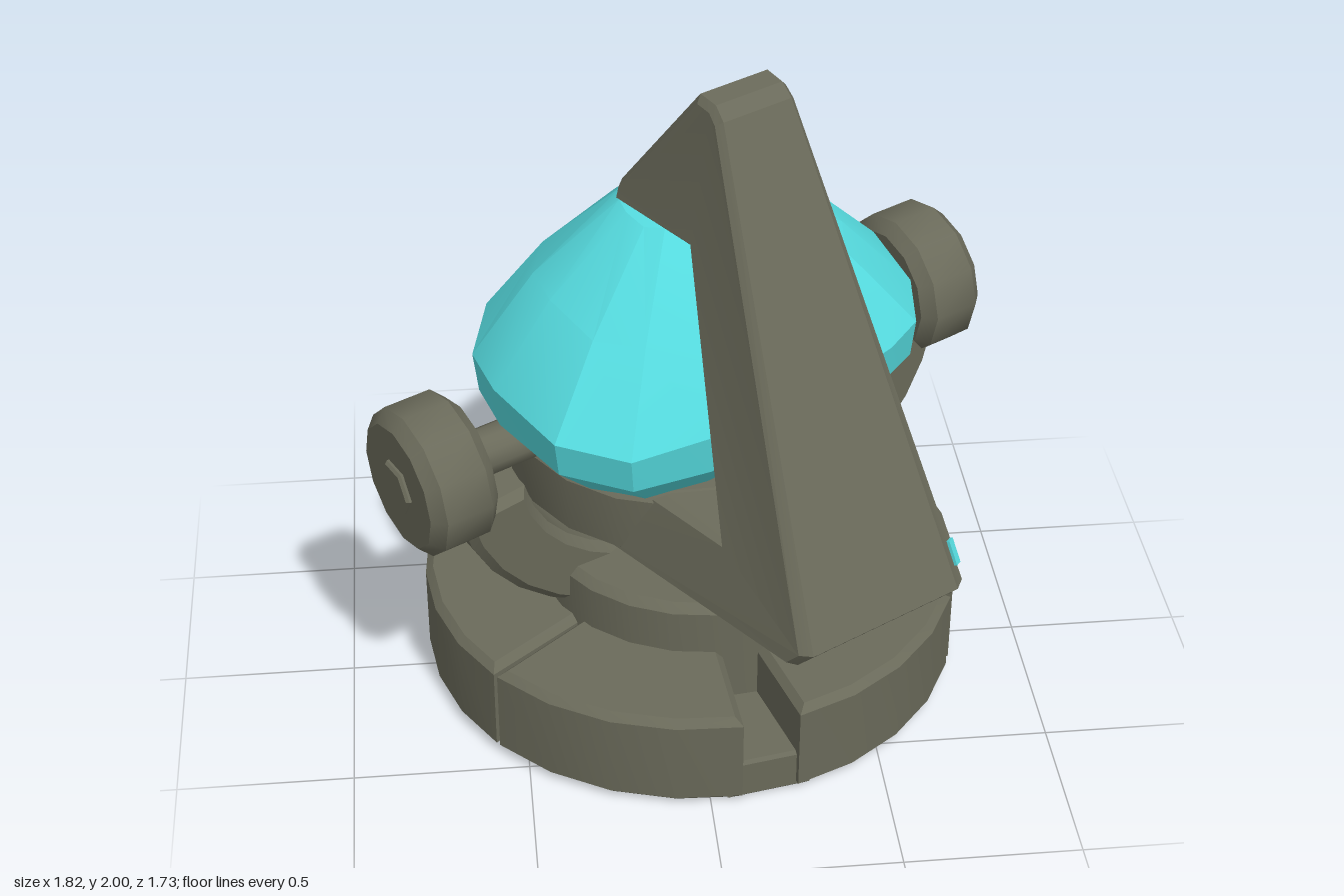
import * as THREE from 'three';
import { toCreasedNormals } from 'three/addons/utils/BufferGeometryUtils.js';

const stone = new THREE.MeshStandardMaterial({ color: 0x6a6a5a });
stone.name = 'weathered stone';
const teal = new THREE.MeshStandardMaterial({ color: 0x55dade });
teal.name = 'teal crystal';

function add(parent, name, geometry, material = stone, crease = 0.6) {
  const mesh = new THREE.Mesh(toCreasedNormals(geometry, crease), material);
  mesh.name = name;
  parent.add(mesh);
  return mesh;
}

const pts = list => list.map(([x, y]) => new THREE.Vector2(x, y));

// Extrusion of total thickness t with chamfers that stay inside the outline
function slab(points, t, bevel, bevelDepth = bevel) {
  const g = new THREE.ExtrudeGeometry(new THREE.Shape(points), {
    depth: t - 2 * bevelDepth, bevelEnabled: true, bevelSegments: 1,
    bevelSize: bevel, bevelOffset: -bevel, bevelThickness: bevelDepth,
  });
  return g.translate(0, 0, bevelDepth);
}

// Points along an arc in plan, angle in degrees from the front (+z) towards +x
function planArc(radius, from, to, steps) {
  const out = [];
  for (let i = 0; i <= steps; i++) {
    const a = THREE.MathUtils.degToRad(from + (to - from) * i / steps);
    out.push(new THREE.Vector2(radius * Math.sin(a), -radius * Math.cos(a)));
  }
  return out;
}

// Ring sector standing on y = 0
function sector(from, to, outer, height, bevel) {
  const steps = Math.max(1, Math.round((to - from) / 13));
  const outline = [...planArc(outer, from, to, steps), ...planArc(0.3, to, from, steps)];
  return slab(outline, height, bevel).rotateX(-Math.PI / 2);
}

// Chamfered disc standing on y = 0
function disc(radius, height, chamfer, sides) {
  return new THREE.LatheGeometry(pts([[0, 0], [radius - chamfer, 0], [radius, chamfer],
    [radius, height - chamfer], [radius - chamfer, height], [0, height]]), sides);
}

function makeBase() {
  const base = new THREE.Group();
  base.name = 'base';
  base.position.set(0.02, 0.03, -0.08);
  base.rotation.x = 0.036;

  // Stone blocks separated by cracks and two wide notches
  const blocks = [[17, 69], [71.5, 125.5], [126.5, 187], [199, 245.5], [246.5, 309.5], [310.5, 365]];
  blocks.forEach(([from, to]) => add(base, 'baseBlock', sector(from, to, 0.79, 0.3, 0.022)));
  [[5, 17], [187, 199]].forEach(([from, to]) =>
    add(base, 'notchFloor', sector(from - 3, to + 3, 0.78, 0.13, 0.01)));
  add(base, 'baseCore', disc(0.765, 0.12, 0.01, 28));
  add(base, 'step', disc(0.495, 0.46, 0.025, 24)).position.set(0.03, 0, -0.005);
  return base;
}

function makeYoke() {
  const yoke = new THREE.Group();
  yoke.name = 'yoke';

  // Half ring that carries the pivots
  const arc = (a, b, dir) => Array.from({ length: 17 }, (_, i) => {
    const t = Math.PI * (1.04 + 0.92 * (dir > 0 ? i : 16 - i) / 16);
    return new THREE.Vector2(a * Math.cos(t), b * Math.sin(t));
  });
  add(yoke, 'yokeArc', slab([...arc(0.82, 0.68, 1), ...arc(0.61, 0.48, -1)], 0.28, 0.025)
    .translate(0, 0, -0.13));

  // Pivot pins and knobs
  for (const side of [1, -1]) {
    const pivot = new THREE.Group();
    pivot.name = side > 0 ? 'leftPivot' : 'rightPivot';
    pivot.rotation.z = -side * Math.PI / 2;
    yoke.add(pivot);
    add(pivot, 'pin', new THREE.CylinderGeometry(0.07, 0.07, 0.34, 10), stone, 0.8).position.y = 0.6;
    add(pivot, 'knob', disc(0.22, 0.21, 0.035, 12)).position.y = 0.72;
    add(pivot, 'knobBoss', disc(0.08, 0.025, 0.008, 6)).position.y = 0.92;
  }
  return yoke;
}

function makeFrame() {
  const frame = new THREE.Group();
  frame.name = 'frame';

  // Side profile of the foot, the slanted arm and its hooked tip
  const arm = slab(pts([[0.1, -0.28], [0.95, -0.28], [1, -0.22], [0.34, 1.05], [0.3, 1.08],
    [0.23, 1.08], [-0.04, 0.7], [-0.04, 0.64], [0.29, 0.66], [0.62, -0.05], [0.1, -0.05]]), 2, 0.02, 0.12);
  arm.translate(0, 0, -1).rotateY(-Math.PI / 2);
  // Narrow upwards, widen behind the front face
  const p = arm.attributes.position;
  for (let i = 0; i < p.count; i++) {
    const rise = p.getY(i) + 0.28;
    const behind = Math.max(0, 1 - 0.5 * rise - p.getZ(i));
    const halfWidth = 0.28 - 0.12 * rise + (0.2 - 0.13 * rise) * behind;
    p.setX(i, p.getX(i) * halfWidth + 0.022 * rise);
  }
  add(frame, 'slantedArm', arm, stone, 0.4);

  // Round seat under the crystal
  add(frame, 'crystalSeat', disc(0.515, 0.235, 0.03, 20)).position.y = -0.28;

  // Crystal chip set in the front edge of the foot
  const chip = add(frame, 'crystalChip', new THREE.BoxGeometry(0.022, 0.075, 0.009), teal);
  chip.position.set(0.26, -0.13, 0.95);
  chip.rotation.set(-0.48, 0.5, 0.1);
  return frame;
}

function makeCrystal() {
  // Uneven girdle in plan (x, z), flattened behind the arm
  const girdle = [[0.25, 0.49], [0.42, 0.435], [0.555, 0.37], [0.65, 0.215], [0.685, -0.015],
    [0.605, -0.225], [0.435, -0.4], [0.01, -0.51], [-0.415, -0.39], [-0.575, -0.19],
    [-0.62, 0.01], [-0.6, 0.3], [-0.455, 0.455], [-0.22, 0.49]];
  // Scale of the girdle against height
  const profile = [[0, -0.12], [0.74, -0.1], [0.98, 0.07], [1, 0.19], [0.69, 0.42], [0.28, 0.62], [0, 0.66]];
  const g = new THREE.LatheGeometry(pts(profile), girdle.length);
  const p = g.attributes.position;
  for (let i = 0; i < p.count; i++) {
    const [x, z] = girdle[Math.floor(i / profile.length) % girdle.length];
    const [scale, y] = profile[i % profile.length];
    const a = Math.atan2(x, z);
    p.setXYZ(i, x * scale, y + 0.02 * scale * Math.sin(4 * a + 5 * y), z * scale);
  }
  return g;
}

export function createModel() {
  const model = new THREE.Group();
  model.name = 'crystalPedestal';
  model.add(makeBase());

  // Everything above the base is turned and slightly tipped
  const upper = new THREE.Group();
  upper.name = 'upperAssembly';
  upper.position.set(0, 0.93, -0.11);
  upper.rotation.set(0.066, 0.48, 0.06, 'YXZ');
  upper.add(makeYoke(), makeFrame());
  add(upper, 'crystal', makeCrystal(), teal, 0.35);
  model.add(upper);
  return model;
}
